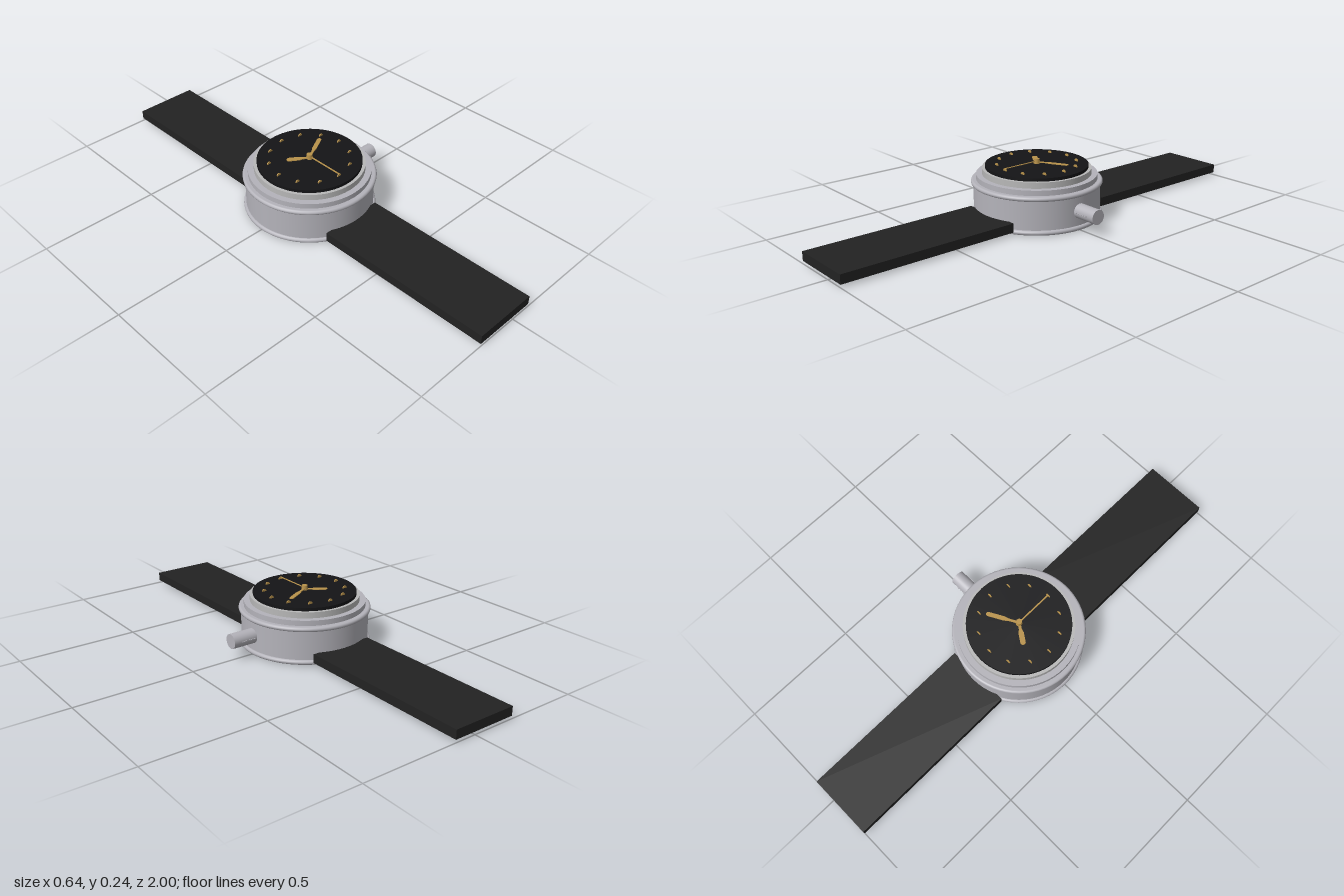
import * as THREE from 'three';

const mat = (color) => new THREE.MeshStandardMaterial({ color });

export function createModel() {
  const watch = new THREE.Group();
  watch.name = 'wristwatch';
  const steel = mat(0xb4b3ba), bezelGrey = mat(0xb8b8b8), black = mat(0x141416);
  const leather = mat(0x222222), gold = mat(0xb8924a);

  // Everything but the crown is centred on the case axis
  const body = new THREE.Group();
  body.name = 'watchBody';
  body.position.x = -0.047;
  watch.add(body);

  const add = (name, geometry, material, x = 0, y = 0, z = 0, parent = body) => {
    const mesh = new THREE.Mesh(geometry, material);
    mesh.name = name;
    mesh.position.set(x, y, z);
    parent.add(mesh);
    return mesh;
  };
  const disc = (name, radius, bottom, top, material) =>
    add(name, new THREE.CylinderGeometry(radius, radius, top - bottom, 64), material, 0, (bottom + top) / 2);

  // Case, stepped bezel and dial
  disc('case', 0.265, 0.01, 0.16, steel);
  disc('lowerBezel', 0.253, 0.155, 0.182, steel);
  disc('upperBezel', 0.228, 0.18, 0.207, bezelGrey);
  disc('dial', 0.215, 0.205, 0.22, black);

  // Rounded rims at the bottom and top of the case
  for (const [name, y] of [['bottomRim', 0.01], ['topRim', 0.15]]) {
    add(name, new THREE.TorusGeometry(0.265, 0.01, 12, 64).rotateX(Math.PI / 2), steel, 0, y);
  }

  // Two straight strap halves
  for (const side of [1, -1]) {
    add(side > 0 ? 'frontStrap' : 'backStrap', new THREE.BoxGeometry(0.279, 0.038, 0.76), leather, 0, 0.031, side * 0.62);
  }

  // Hour markers: thin upright discs half sunk in the dial
  const markerGeometry = new THREE.CylinderGeometry(0.01, 0.01, 0.004, 20).rotateX(Math.PI / 2);
  for (let i = 0; i < 12; i++) {
    const a = (i * Math.PI) / 6;
    add('hourMarker', markerGeometry, gold, Math.sin(a) * 0.168, 0.22, -Math.cos(a) * 0.168);
  }

  // Hands: flat blades, narrow at the hub and wider towards a blunt tip
  const hand = (name, dx, dz, neck, wide, y, thickness) => {
    const length = Math.hypot(dx, dz);
    const shape = new THREE.Shape();
    shape.moveTo(0, -neck);
    shape.lineTo(length * 0.3, -neck);
    shape.lineTo(length * 0.45, -wide);
    shape.lineTo(length - wide, -wide);
    shape.absarc(length - wide, 0, wide, -Math.PI / 2, Math.PI / 2);
    shape.lineTo(length * 0.45, wide);
    shape.lineTo(length * 0.3, neck);
    shape.lineTo(0, neck);
    const geometry = new THREE.ExtrudeGeometry(shape, { depth: thickness, bevelEnabled: false });
    geometry.rotateX(-Math.PI / 2);
    add(name, geometry, gold, 0, y, 0).rotation.y = Math.atan2(-dz, dx);
  };
  hand('hourHand', -0.078, -0.053, 0.006, 0.011, 0.221, 0.003);
  hand('minuteHand', 0.122, -0.066, 0.005, 0.009, 0.2245, 0.003);
  hand('secondHand', 0, 0.17, 0.003, 0.003, 0.228, 0.002);
  add('handHub', new THREE.CylinderGeometry(0.012, 0.0135, 0.02, 24), gold, 0, 0.23);

  // Winding crown with small grip ridges on its front and back
  const crown = new THREE.Group();
  crown.name = 'crown';
  crown.position.set(0.268, 0.081, 0);
  watch.add(crown);
  add('crownStem', new THREE.CylinderGeometry(0.031, 0.031, 0.108, 32).rotateZ(Math.PI / 2), steel, 0, 0, 0, crown);
  for (const side of [1, -1]) {
    for (let i = 0; i < 5; i++) {
      add('crownRidge', new THREE.BoxGeometry(0.01, 0.003, 0.006), steel, -0.041 + i * 0.0137, 0, side * 0.031, crown);
    }
  }
  return watch;
}
